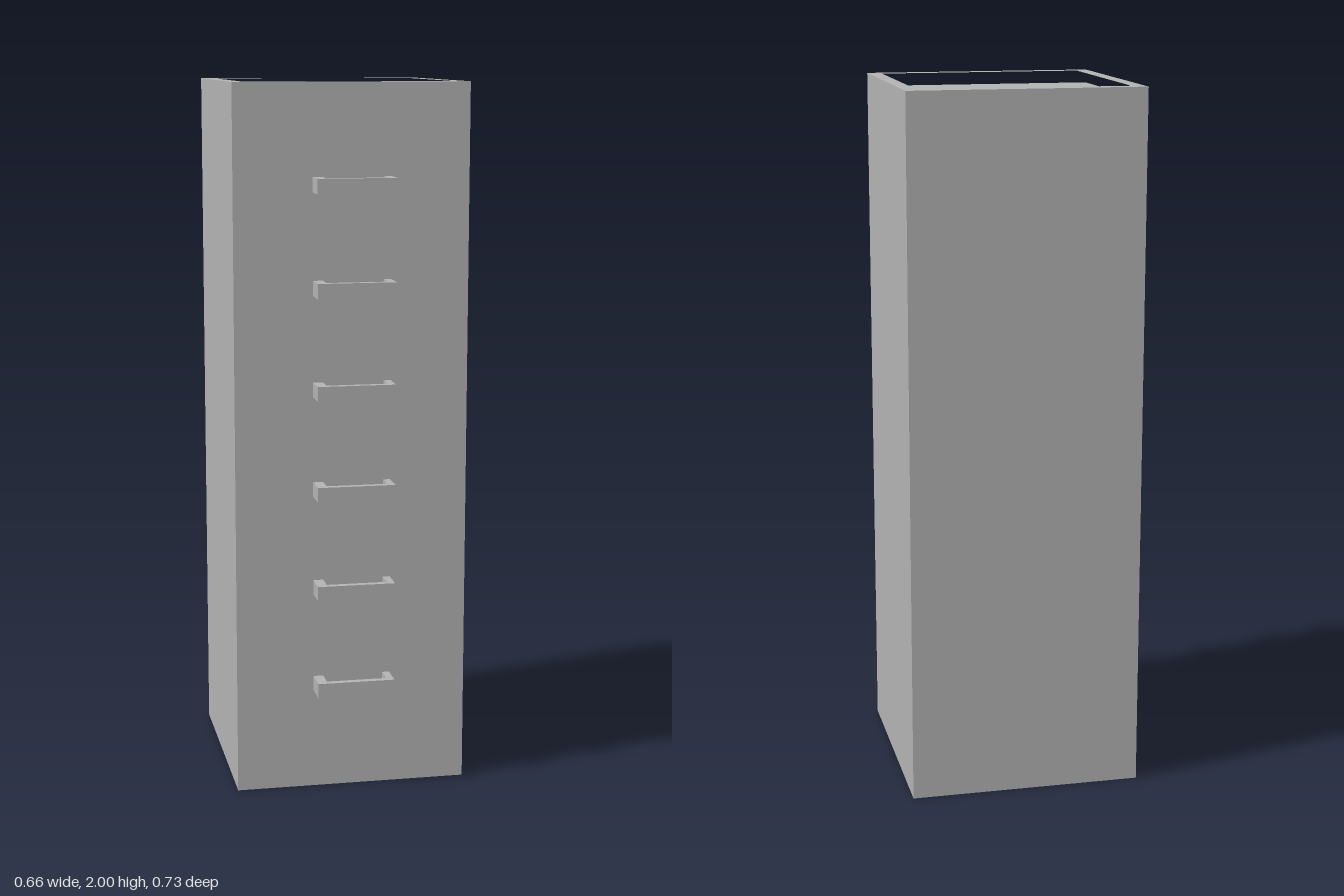
import * as THREE from 'three';

const grey = new THREE.MeshStandardMaterial({ color: 0xb2b2b2 });

// Box between two corners
function block(name, [x0, y0, z0], [x1, y1, z1]) {
  const geometry = new THREE.BoxGeometry(x1 - x0, y1 - y0, z1 - z0);
  geometry.translate((x0 + x1) / 2, (y0 + y1) / 2, (z0 + z1) / 2);
  const mesh = new THREE.Mesh(geometry, grey);
  mesh.name = name;
  return mesh;
}

// Flat outline in x and z, raised from y0 to y1
function raised(name, outline, hole, y0, y1) {
  const points = (list) => list.map(([x, z]) => new THREE.Vector2(x, -z));
  const shape = new THREE.Shape(points(outline));
  if (hole) shape.holes.push(new THREE.Path(points(hole)));
  const geometry = new THREE.ExtrudeGeometry(shape, { depth: y1 - y0, bevelEnabled: false });
  geometry.rotateX(-Math.PI / 2);
  geometry.translate(0, y0, 0);
  const mesh = new THREE.Mesh(geometry, grey);
  mesh.name = name;
  return mesh;
}

const rect = (x0, z0, x1, z1) => [[x0, z0], [x1, z0], [x1, z1], [x0, z1]];

export function createModel() {
  const model = new THREE.Group();
  model.name = 'drawerTower';
  const front = 0.292, back = -0.367;

  // Cabinet with a shallow tray in its top
  const cabinet = new THREE.Group();
  cabinet.name = 'cabinet';
  cabinet.add(
    block('cabinetBody', [-0.33, 0, back], [0.33, 1.962, front]),
    raised('topRim', rect(-0.33, back, 0.33, front), rect(-0.292, -0.329, 0.292, 0.253), 1.962, 2)
  );
  model.add(cabinet);

  // Six drawer handles: a U-shaped rim over a solid base
  const rim = [
    [-0.11, front], [-0.11, 0.367], [0.11, 0.367], [0.11, front],
    [0.09, front], [0.09, 0.348], [-0.082, 0.348], [-0.082, front],
  ];
  for (let i = 0; i < 6; i++) {
    const handle = new THREE.Group();
    handle.name = `drawerHandle${i + 1}`;
    handle.position.y = 0.308 + i * 0.2832;
    handle.add(
      block('handleBase', [-0.11, -0.021, front], [0.11, 0, 0.367]),
      raised('handleRim', rim, null, 0, 0.021)
    );
    model.add(handle);
  }
  return model;
}
